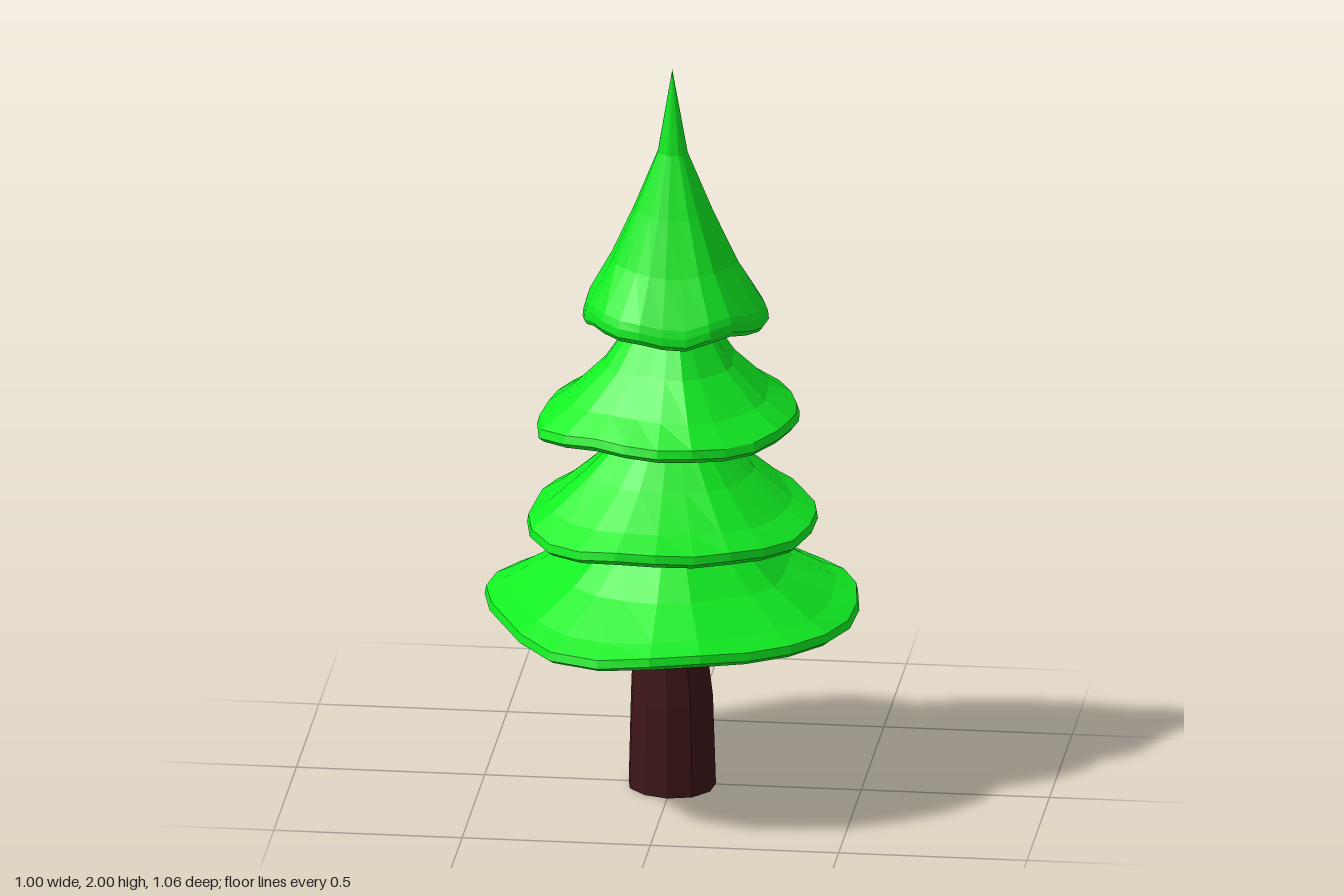
import * as THREE from 'three';

const leaf = new THREE.MeshStandardMaterial({ color: 0x11ee22, flatShading: true });
const bark = new THREE.MeshStandardMaterial({ color: 0x3f171a, flatShading: true });

// Joins rings of points, listed from the top outward and down, into a surface.
function loft(name, rings, material) {
  const n = rings[0].length;
  const index = [];
  for (let j = 0; j < rings.length - 1; j++) {
    for (let i = 0; i < n; i++) {
      const k = (i + 1) % n;
      const a = j * n + i, b = a + n, c = (j + 1) * n + k, d = j * n + k;
      index.push(a, b, c, a, c, d);
    }
  }
  const geometry = new THREE.BufferGeometry();
  geometry.setAttribute('position', new THREE.Float32BufferAttribute(rings.flat(2), 3));
  geometry.setIndex(index);
  geometry.computeVertexNormals();
  const mesh = new THREE.Mesh(geometry, material);
  mesh.name = name;
  return mesh;
}

// Doubles the number of rim radii with smooth midpoints.
function refine(rim) {
  const at = (i) => rim[(i + rim.length) % rim.length];
  return rim.flatMap((r, i) => [r, (9 * (r + at(i + 1)) - at(i - 1) - at(i + 2)) / 16]);
}

// Hollow skirt of branches. rim: radius every 30 degrees from the front.
// outer: [share of rim radius, height] from the tip down to the upper rim edge.
function branches(name, phase, wave, rim, outer) {
  const rimY = outer.at(-1)[1];
  const lip = [[1, rimY - 0.022], [0.965, rimY - 0.035], [0.91, rimY - 0.03]];
  const inner = outer.slice(1, -1).reverse().map(([s, y]) => [s * 0.93, y - 0.025]);
  const roof = [0, outer[1][1]];
  const radii = refine(rim);
  const rings = [...outer, ...lip, ...inner, roof].map(([share, y]) => radii.map((r, i) => {
    const a = (i / radii.length) * Math.PI * 2;
    const droop = share ** 3;
    const fold = 1 + 0.07 * (1 - droop) * Math.sin(5 * a + phase) * Math.cos(2 * a + phase);
    const dy = wave * droop * (Math.sin(4 * a + phase) + 0.6 * Math.sin(7 * a + 2 * phase));
    const radius = r * share * fold;
    return [radius * Math.sin(a), y + dy, radius * Math.cos(a) + 0.015 * (1 - share)];
  }));
  return loft(name, rings, leaf);
}

// Slightly bent trunk: each station is [y, centre x, centre z, radius].
function trunk() {
  const sides = 11;
  const stations = [[1.42, 0, 0.015, 0], [1.4, 0, 0.015, 0.03], [0.9, 0, 0.02, 0.06], [0.5, -0.01, 0.025, 0.09],
    [0.25, 0, 0.02, 0.11], [0, 0, 0.012, 0.117], [0, 0, 0.012, 0]];
  const rings = stations.map(([y, cx, cz, r]) => Array.from({ length: sides }, (_, i) => {
    const a = (i / sides) * Math.PI * 2;
    const radius = r * (1 + 0.02 * Math.sin(3 * a));
    return [cx + radius * Math.sin(a), y, cz + radius * Math.cos(a)];
  }));
  return loft('trunk', rings, bark);
}

export function createModel() {
  const tree = new THREE.Group();
  tree.name = 'pineTree';
  tree.add(
    trunk(),
    branches('bottomBranches', 0.4, 0.007,
      [0.53, 0.505, 0.51, 0.495, 0.495, 0.515, 0.53, 0.485, 0.505, 0.5, 0.485, 0.545],
      [[0, 0.98], [0.17, 0.88], [0.38, 0.73], [0.64, 0.62], [0.88, 0.55], [0.99, 0.525]]),
    branches('lowerMiddleBranches', 1.7, 0.007,
      [0.4, 0.385, 0.4, 0.385, 0.385, 0.415, 0.365, 0.39, 0.385, 0.37, 0.41, 0.42],
      [[0, 1.22], [0.18, 1.12], [0.33, 0.99], [0.57, 0.89], [0.83, 0.805], [0.99, 0.767]]),
    branches('upperMiddleBranches', 2.9, 0.007,
      [0.355, 0.35, 0.35, 0.335, 0.345, 0.375, 0.325, 0.34, 0.34, 0.335, 0.385, 0.35],
      [[0, 1.5], [0.17, 1.4], [0.31, 1.29], [0.5, 1.19], [0.77, 1.1], [0.98, 1.05]]),
    branches('topBranches', 4.6, 0.011,
      [0.24, 0.25, 0.25, 0.255, 0.235, 0.22, 0.22, 0.22, 0.245, 0.24, 0.235, 0.245],
      [[0, 2], [0.16, 1.77], [0.42, 1.61], [0.68, 1.47], [0.96, 1.355], [0.99, 1.335]]),
  );
  return tree;
}
